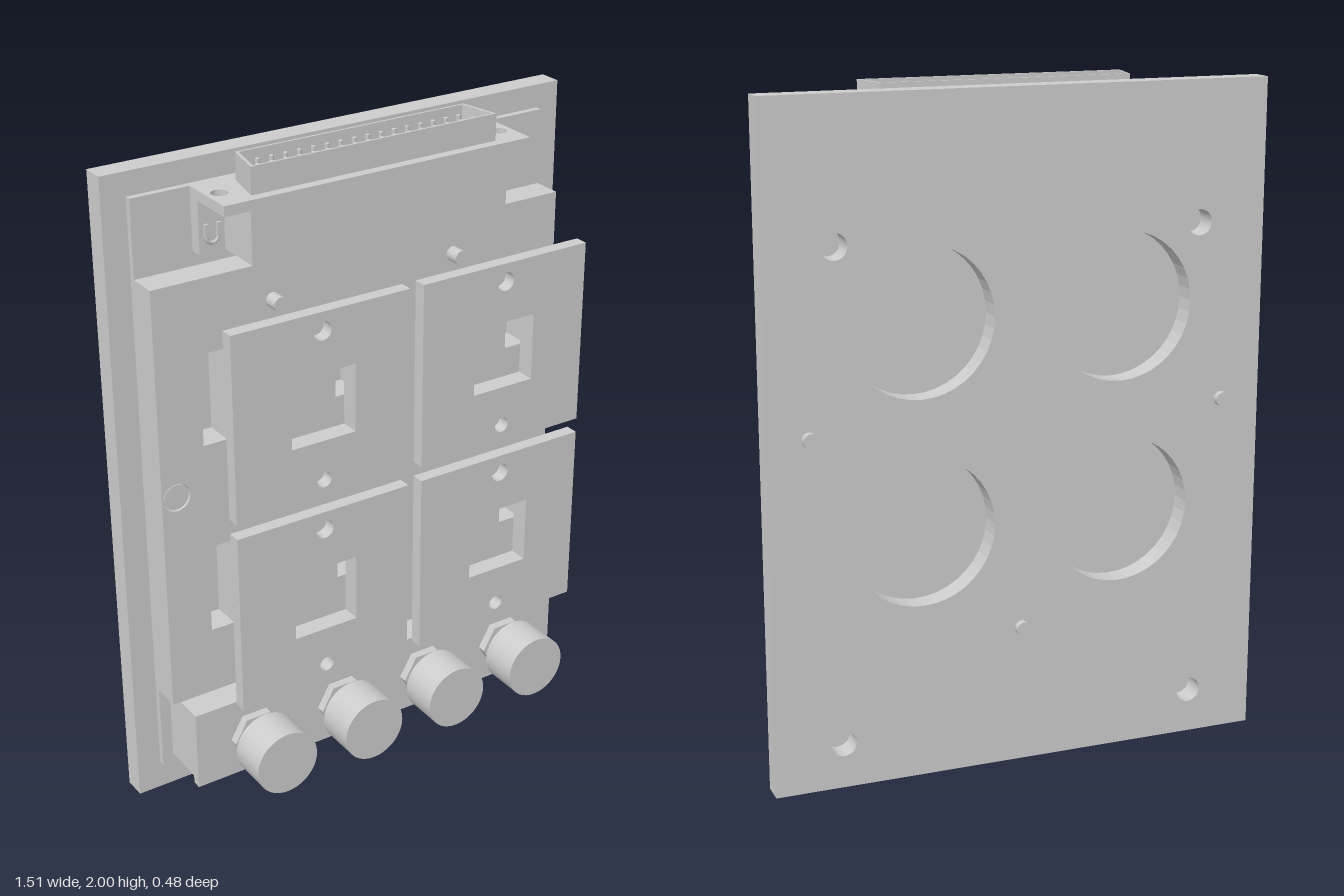
import * as THREE from 'three';

const grey = new THREE.MeshStandardMaterial({ color: 0xcccccc });
grey.name = 'light grey';

const KNOB_X = [-0.457, -0.152, 0.152, 0.457];
const MODULE_X = [-0.305, 0.305];
const MODULE_Y = [0.7425, 1.3525];
const SCREWS = [[-0.632, 1.05], [0.632, 1.05], [0, 0.415]];

export function createModel() {
  const model = new THREE.Group();
  model.name = 'controlPanel';

  const add = (name, geometry) => {
    const mesh = new THREE.Mesh(geometry, grey);
    mesh.name = name;
    model.add(mesh);
    return mesh;
  };

  // Box given by its limits on each axis
  const box = (name, x0, x1, y0, y1, z0, z1) => {
    const g = new THREE.BoxGeometry(x1 - x0, y1 - y0, z1 - z0);
    g.translate((x0 + x1) / 2, (y0 + y1) / 2, (z0 + z1) / 2);
    return add(name, g);
  };

  // Cylinder lying along z between two depths
  const rod = (name, x, y, z0, z1, r, sides = 24) => {
    const g = new THREE.CylinderGeometry(r, r, z1 - z0, sides);
    g.rotateX(Math.PI / 2).translate(x, y, (z0 + z1) / 2);
    return add(name, g);
  };

  const polygon = (points) => new THREE.Shape(points.map(([x, y]) => new THREE.Vector2(x, y)));
  const corners = (x0, x1, y0, y1) => [[x0, y0], [x1, y0], [x1, y1], [x0, y1]];
  const circle = (x, y, r) => new THREE.Path().absarc(x, y, r, 0, Math.PI * 2, true);

  // Outline with holes, extruded between two depths
  const slab = (outline, holes, z0, z1) => {
    const shape = polygon(outline);
    shape.holes.push(...holes);
    const g = new THREE.ExtrudeGeometry(shape, { depth: z1 - z0, bevelEnabled: false, curveSegments: 20 });
    return g.translate(0, 0, z0);
  };

  // Back plate with large sensor openings and corner holes
  const plateHoles = [];
  for (const x of MODULE_X) for (const y of MODULE_Y) plateHoles.push(circle(x, y, 0.22));
  for (const x of [-0.55, 0.55]) for (const y of [0.135, 1.58]) plateHoles.push(circle(x, y, 0.038));
  add('backPlate', slab(corners(-0.755, 0.755, 0, 1.99), plateHoles, -0.22, -0.15));

  // Circuit board
  box('circuitBoard', -0.68, 0.68, 0.09, 1.92, -0.15, -0.13);

  // Thick housing with screw sockets and a slot on either side of each module
  const housingHoles = SCREWS.map(([x, y]) => circle(x, y, 0.043));
  for (const x of MODULE_X) for (const y of MODULE_Y) {
    housingHoles.push(
      polygon(corners(x + 0.203, x + 0.277, y - 0.13, y + 0.115)),
      polygon(corners(x - 0.235, x - 0.16, y - 0.165, y + 0.115)));
  }
  add('housing', slab(corners(-0.68, 0.68, 0.365, 1.69), housingHoles, -0.13, -0.04));

  // Assembly screws, heads nearly flush with the housing
  for (const [x, y] of SCREWS) {
    rod('screwHead', x, y, -0.13, -0.043, 0.039);
    rod('screwShank', x, y, -0.24, -0.14, 0.022, 16);
  }

  // Four floating cover plates with windows, and the pins behind them
  for (const x of MODULE_X) for (const y of MODULE_Y) {
    const window = () => polygon(corners(x - 0.103, x + 0.103, y - 0.103, y + 0.103));
    add('coverPlate', slab(
      corners(x - 0.2825, x + 0.2825, y - 0.2825, y + 0.2825),
      [window(), circle(x, y + 0.227, 0.028), circle(x, y - 0.225, 0.023)], 0.18, 0.22));
    add('windowFrame', slab(corners(x - 0.178, x + 0.178, y - 0.178, y + 0.178), [window()], 0.162, 0.18));
    for (const dy of [-0.225, 0.225]) rod('coverPin', x, y + dy, -0.045, 0.006, 0.022, 16);
  }

  // Control box with an angled front and top cover
  box('controlBox', -0.645, 0.645, 0.12, 0.34, -0.13, 0.022);
  box('controlCoverFront', -0.655, 0.655, 0.11, 0.365, 0.022, 0.05);
  box('controlCoverTop', -0.655, 0.655, 0.34, 0.365, -0.13, 0.022);

  // Knobs on threaded shafts with hexagonal nuts
  for (const x of KNOB_X) {
    const y = 0.235;
    const hex = Array.from({ length: 6 }, (_, i) => {
      const a = i * Math.PI / 3;
      return [x + 0.082 * Math.cos(a), y + 0.082 * Math.sin(a)];
    });
    add('knobNut', slab(hex, [], 0.05, 0.077));
    rod('knobShaft', x, y, 0.05, 0.12, 0.042);
    rod('knob', x, y, 0.115, 0.24, 0.101, 40);
  }

  // Connector body: centre block, rear wall and drilled top flange
  box('connectorBody', -0.42, 0.42, 1.735, 1.89, -0.13, 0.055);
  for (const s of [-1, 1]) {
    const [a, b] = [0.42 * s, 0.5 * s].sort((p, q) => p - q);
    box('connectorRearWall', a, b, 1.735, 1.89, -0.13, -0.09);
    // U-shaped clip on the rear wall
    const clip = add('connectorClip', new THREE.TorusGeometry(0.019, 0.006, 6, 14, Math.PI));
    clip.rotation.z = Math.PI;
    clip.position.set(0.46 * s, 1.783, -0.087);
    for (const d of [-0.019, 0.019]) {
      box('connectorClipArm', 0.46 * s + d - 0.006, 0.46 * s + d + 0.006, 1.783, 1.82, -0.092, -0.081);
    }
  }

  // Upward extrusion; outline y runs towards the back
  const upward = (outline, holes, y0, y1) => slab(outline, holes, y0, y1).rotateX(-Math.PI / 2);
  add('connectorFlange', upward(corners(-0.5, 0.5, -0.055, 0.13),
    [circle(-0.46, 0.04, 0.024), circle(0.46, 0.04, 0.024)], 1.89, 1.92));

  // Tapered socket shell and two rows of contact pins
  const outer = [[-0.4, -0.025], [0.4, -0.025], [0.375, 0.1], [-0.375, 0.1]];
  const inner = [[-0.39, -0.018], [0.39, -0.018], [0.367, 0.093], [-0.367, 0.093]];
  add('connectorShell', upward(outer, [polygon(inner)], 1.92, 2.0));
  for (const [count, z] of [[16, -0.06], [17, -0.02]]) {
    for (let i = 0; i < count; i++) {
      const g = new THREE.CylinderGeometry(0.007, 0.007, 0.065, 8);
      g.translate((i - (count - 1) / 2) * 0.044, 1.9525, z);
      add('contactPin', g);
    }
  }

  return model;
}
